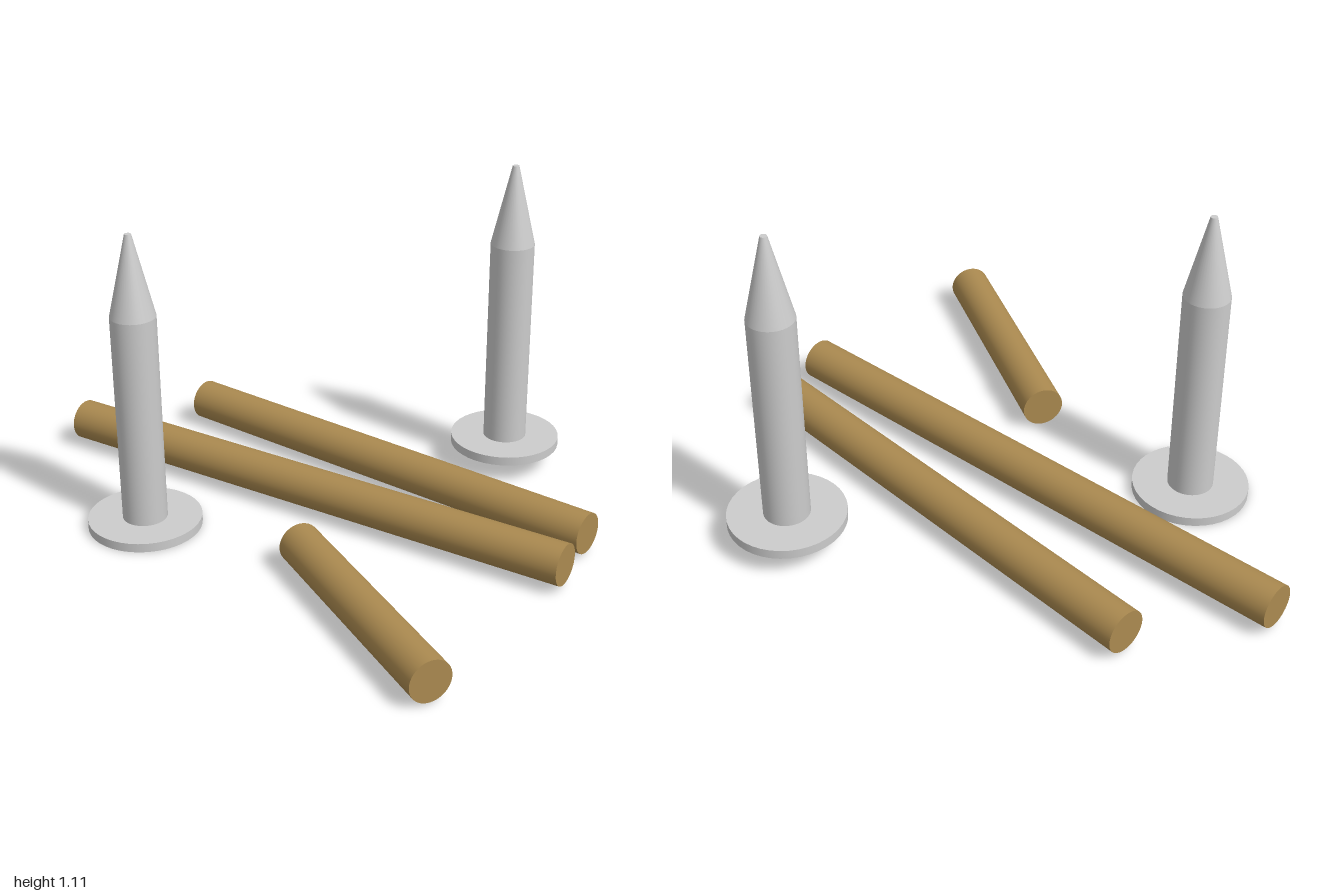
import * as THREE from 'three';

const steel = new THREE.MeshStandardMaterial({ color: 0xcccccc });
steel.name = 'steelGrey';
const wood = new THREE.MeshStandardMaterial({ color: 0xab8a50 });
wood.name = 'woodBrown';

const SIDES = 40;

// Upright cylinder or cone frustum standing between two heights
function turned(name, rTop, rBottom, y0, y1) {
  const mesh = new THREE.Mesh(new THREE.CylinderGeometry(rTop, rBottom, y1 - y0, SIDES), steel);
  mesh.name = name;
  mesh.position.y = (y0 + y1) / 2;
  return mesh;
}

// Nail standing on its head, point up
function nail(name, x, y, z) {
  const group = new THREE.Group();
  group.name = name;
  group.add(
    turned('nailHead', 0.191, 0.191, 0, 0.031),
    turned('nailShaft', 0.075, 0.075, 0.031, 0.755),
    turned('nailPoint', 0.011, 0.075, 0.755, 1.03)
  );
  group.position.set(x, y, z);
  return group;
}

// Round stick lying flat between two (x, z) ends at height y
function stick(name, y, [x0, z0], [x1, z1]) {
  const a = new THREE.Vector3(x0, y, z0);
  const b = new THREE.Vector3(x1, y, z1);
  const dir = b.clone().sub(a);
  const mesh = new THREE.Mesh(new THREE.CylinderGeometry(0.07, 0.07, dir.length(), SIDES), wood);
  mesh.name = name;
  mesh.position.copy(a).add(b).multiplyScalar(0.5);
  mesh.quaternion.setFromUnitVectors(new THREE.Vector3(0, 1, 0), dir.normalize());
  return mesh;
}

export function createModel() {
  const model = new THREE.Group();
  model.name = 'nailsAndSticks';
  model.add(
    nail('rightNail', -0.663, 0, -0.253),
    nail('leftNail', 0.657, 0.076, -0.311),
    stick('longStick', 0.086, [-0.751, -0.924], [0.508, 0.547]),
    stick('middleStick', 0.083, [-0.29, -0.961], [0.657, 0.389]),
    stick('shortStick', 0.078, [-0.241, 0.154], [-0.097, 0.982])
  );
  return model;
}
